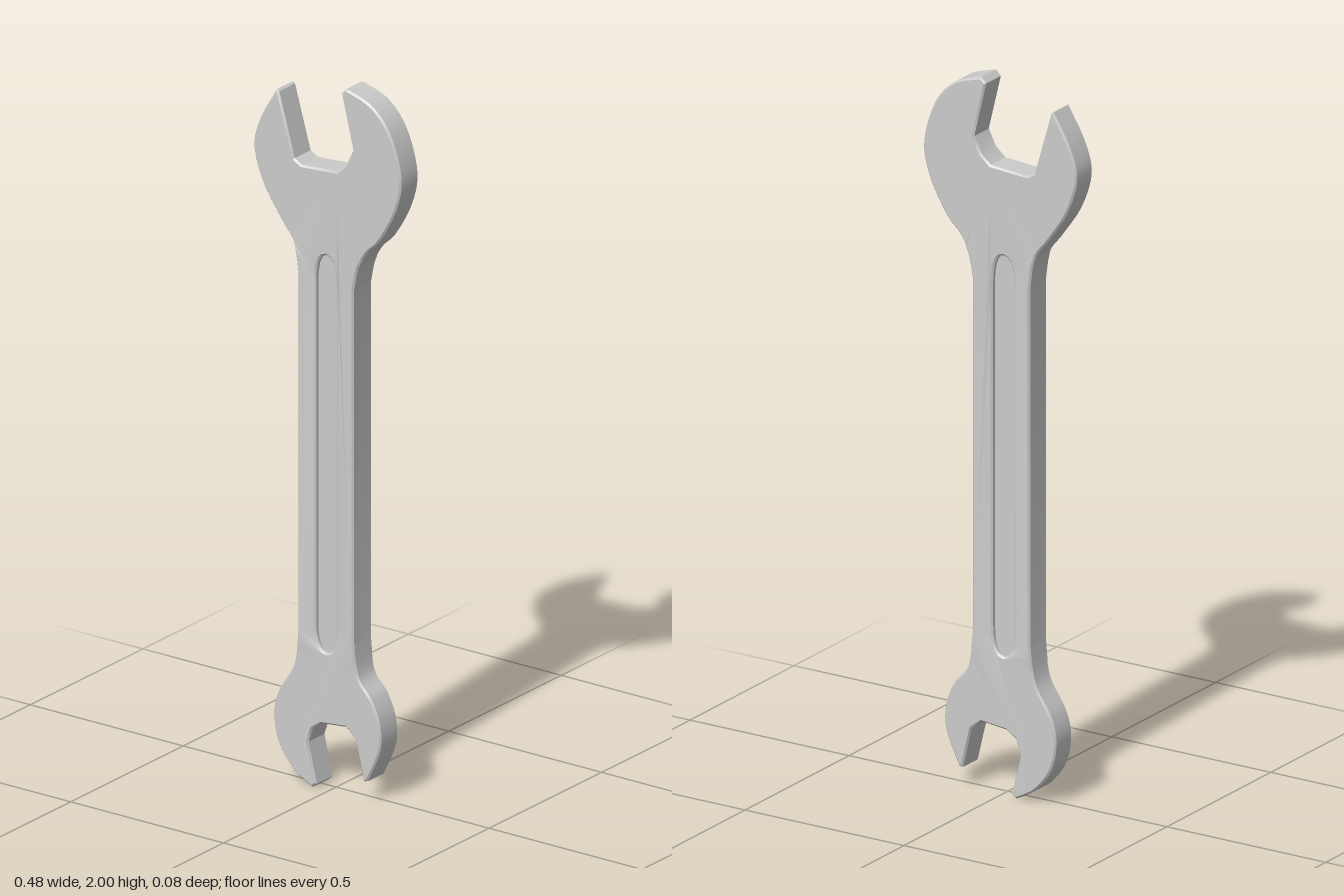
import * as THREE from 'three';
import { toCreasedNormals } from 'three/addons/utils/BufferGeometryUtils.js';

const vecs = (pts) => pts.map(([x, y]) => new THREE.Vector2(x, y));

// Outer flanks, drawn as smooth curves
const bigRight = [[0.145, 1.97], [0.206, 1.9], [0.24, 1.785], [0.222, 1.69], [0.17, 1.595], [0.127, 1.55], [0.1, 1.5], [0.086, 1.435]];
const smallRight = [[0.1, 0.345], [0.143, 0.29], [0.17, 0.225], [0.17, 0.15], [0.13, 0.058]];
const smallLeft = [[-0.11, 0.035], [-0.16, 0.1], [-0.176, 0.18], [-0.16, 0.25], [-0.11, 0.335], [-0.095, 0.44]];
const bigLeft = [[-0.11, 1.525], [-0.15, 1.58], [-0.21, 1.67], [-0.241, 1.77], [-0.22, 1.855], [-0.167, 1.947]];
// Jaw openings, drawn as straight facets
const bigJaw = [[-0.16, 1.942], [-0.109, 1.765], [-0.085, 1.752], [0.03, 1.76], [0.06, 1.785], [0.083, 1.83], [0.045, 1.985], [0.06, 2]];
const smallJaw = [[0.118, 0.055], [0.09, 0.17], [0.058, 0.195], [-0.02, 0.187], [-0.05, 0.167], [-0.064, 0.125], [-0.037, 0.012], [-0.05, 0]];

// Groove outline: straight sides with pointed-oval ends
const GX = -0.008, GW = 0.034;
function traceGroove(path, w) {
  path.moveTo(GX - w, 0.47);
  path.quadraticCurveTo(GX - w, 0.39, GX, 0.387);
  path.quadraticCurveTo(GX + w, 0.39, GX + w, 0.47);
  path.lineTo(GX + w, 1.43);
  path.quadraticCurveTo(GX + w, 1.51, GX, 1.513);
  path.quadraticCurveTo(GX - w, 1.51, GX - w, 1.43);
  path.closePath();
  return path;
}

function bodyGeometry() {
  const s = new THREE.Shape();
  s.moveTo(...bigJaw[0]);
  for (const p of bigJaw.slice(1)) s.lineTo(...p);
  s.splineThru(vecs(bigRight));
  s.lineTo(0.086, 0.44);
  s.splineThru(vecs(smallRight));
  for (const p of smallJaw) s.lineTo(...p);
  s.splineThru(vecs(smallLeft));
  s.lineTo(-0.095, 1.44);
  s.splineThru(vecs(bigLeft));
  s.closePath();
  s.holes.push(traceGroove(new THREE.Path(), GW));

  const g = new THREE.ExtrudeGeometry(s, {
    depth: 0.07, curveSegments: 5, bevelEnabled: true,
    bevelThickness: 0.005, bevelSize: 0.005, bevelOffset: -0.005, bevelSegments: 1,
  });
  g.translate(0, 0, -0.035);

  // Dish the handle: raised rims at its edges, lower beside the groove
  const p = g.attributes.position;
  for (let i = 0; i < p.count; i++) {
    const x = p.getX(i), y = p.getY(i), z = p.getZ(i);
    if (y < 0.38 || y > 1.52 || Math.abs(x) > 0.11) continue;
    const nearGroove = Math.abs(x - GX) < GW + 0.012;
    p.setZ(i, z * (nearGroove ? 0.88 : 1.06));
  }
  return toCreasedNormals(g, 0.55);
}

export function createModel() {
  const group = new THREE.Group();
  group.name = 'openEndWrench';
  const mat = new THREE.MeshStandardMaterial({ color: 0xcccccc });

  const body = new THREE.Mesh(bodyGeometry(), mat);
  body.name = 'body';
  group.add(body);

  // Web closing the groove, recessed from both faces
  const web = new THREE.ExtrudeGeometry(traceGroove(new THREE.Shape(), GW + 0.006), {
    depth: 0.044, curveSegments: 5, bevelEnabled: false,
  });
  web.translate(0, 0, -0.022);
  const floor = new THREE.Mesh(web, mat);
  floor.name = 'grooveFloor';
  group.add(floor);
  return group;
}
